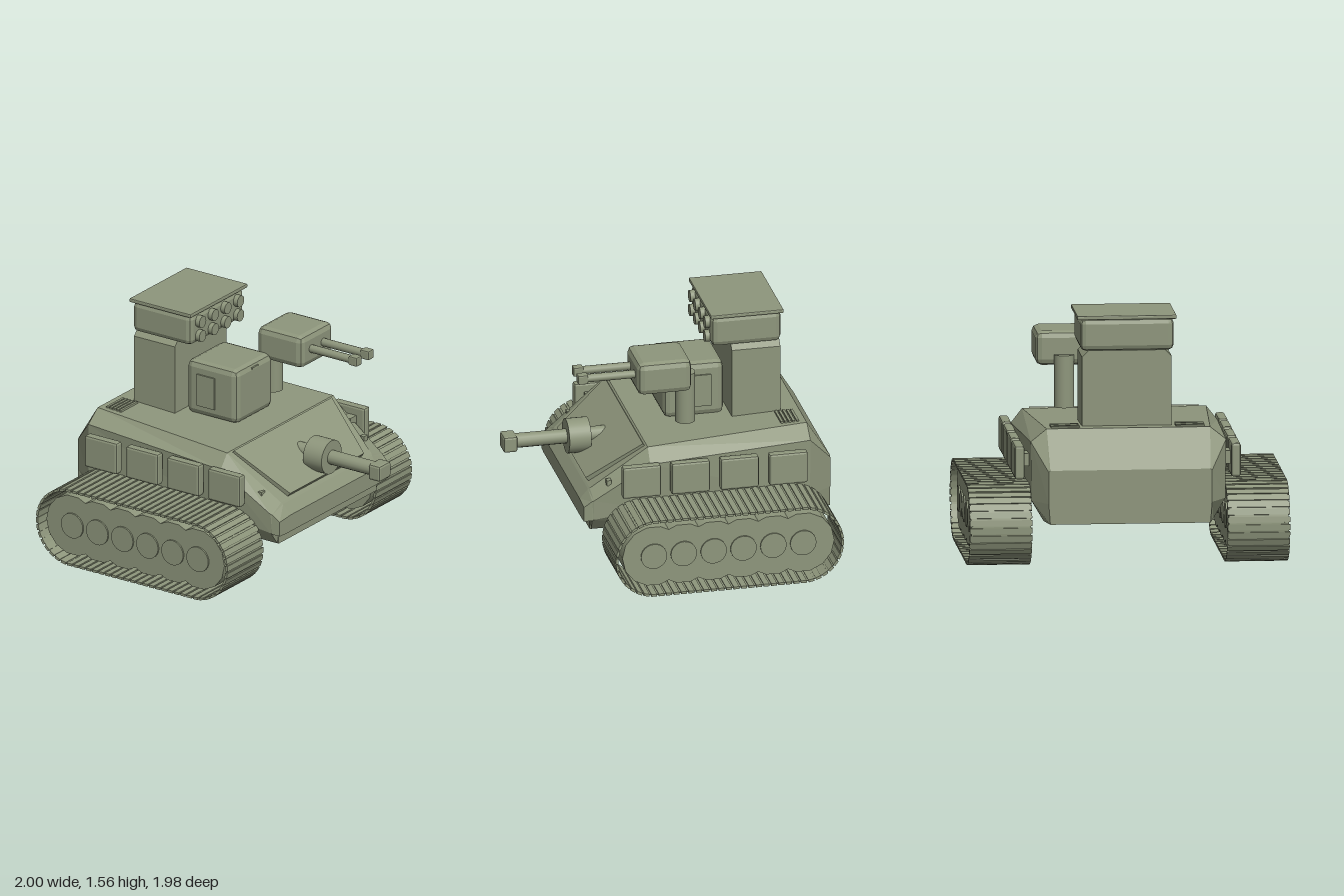
import * as THREE from 'three';
import { mergeGeometries } from 'three/addons/utils/BufferGeometryUtils.js';
import { RoundedBoxGeometry } from 'three/addons/geometries/RoundedBoxGeometry.js';

const olive = new THREE.MeshStandardMaterial({ color: 0x8e967c });
olive.name = 'olive armour';

function add(parent, name, geometry, x = 0, y = 0, z = 0) {
  const mesh = new THREE.Mesh(geometry, olive);
  mesh.name = name;
  mesh.position.set(x, y, z);
  parent.add(mesh);
  return mesh;
}

// Box given by its limits on each axis, with bevelled edges when bevel > 0
function block(parent, name, [x0, x1], [y0, y1], [z0, z1], bevel = 0) {
  const size = [x1 - x0, y1 - y0, z1 - z0];
  const g = bevel ? new RoundedBoxGeometry(...size, 1, bevel) : new THREE.BoxGeometry(...size);
  g.computeVertexNormals();
  return add(parent, name, g, (x0 + x1) / 2, (y0 + y1) / 2, (z0 + z1) / 2);
}

// Cylinder lying along z
function rod(parent, name, r, x, y, z0, z1, sides = 24) {
  const g = new THREE.CylinderGeometry(r, r, z1 - z0, sides).rotateX(Math.PI / 2);
  return add(parent, name, g, x, y, (z0 + z1) / 2);
}

// Faceted body from mirrored half-sections ordered from back to front
function hullGeometry(sections) {
  const rings = sections.map(([z, ...half]) => [
    ...half.map(([x, y]) => [x, y, z]),
    ...half.slice().reverse().map(([x, y]) => [-x, y, z]),
  ]);
  const n = rings[0].length;
  const pos = [];
  const tri = (...points) => points.forEach((p) => pos.push(...p));
  for (let i = 0; i < rings.length - 1; i++) {
    for (let j = 0; j < n; j++) {
      const k = (j + 1) % n;
      tri(rings[i][j], rings[i][k], rings[i + 1][k]);
      tri(rings[i][j], rings[i + 1][k], rings[i + 1][j]);
    }
  }
  const back = rings[0], front = rings[rings.length - 1];
  for (let j = 1; j < n - 1; j++) {
    tri(front[0], front[j], front[j + 1]);
    tri(back[0], back[j + 1], back[j]);
  }
  const g = new THREE.BufferGeometry();
  g.setAttribute('position', new THREE.Float32BufferAttribute(pos, 3));
  g.computeVertexNormals();
  return g;
}

// Track loop: two straights joined by half circles
const AXLE_Y = 0.255, FRONT = 0.235, REAR = -0.71;

function linkGeometry(width, count) {
  const r = 0.247, run = FRONT - REAR, arc = Math.PI * r;
  const total = 2 * (run + arc);
  const links = [];
  for (let i = 0; i < count; i++) {
    let s = (i / count) * total, z, a;
    if (s < run) { z = FRONT - s; a = Math.PI / 2; }
    else if (s < run + arc) { z = REAR; a = Math.PI / 2 + (s - run) / r; }
    else if (s < 2 * run + arc) { z = REAR + s - run - arc; a = Math.PI * 1.5; }
    else { z = FRONT; a = Math.PI * 1.5 + (s - 2 * run - arc) / r; }
    links.push(new THREE.BoxGeometry(width, 0.016, 0.036)
      .rotateX(Math.PI / 2 - a)
      .translate(0, AXLE_Y + r * Math.sin(a), z + r * Math.cos(a)));
  }
  return mergeGeometries(links);
}

function stadium(PathType, r) {
  const p = new PathType();
  p.absarc(-FRONT, AXLE_Y, r, Math.PI / 2, Math.PI * 1.5, false);
  p.absarc(-REAR, AXLE_Y, r, -Math.PI / 2, Math.PI / 2, false);
  p.closePath();
  return p;
}

function track(side) {
  const g = new THREE.Group();
  g.name = side > 0 ? 'leftTrack' : 'rightTrack';
  add(g, 'trackLinks', linkGeometry(0.39, 72), side * 0.805);
  const belt = stadium(THREE.Shape, 0.249);
  belt.holes.push(stadium(THREE.Path, 0.244));
  const beltGeometry = new THREE.ExtrudeGeometry(belt, { depth: 0.372, bevelEnabled: false, curveSegments: 20 });
  add(g, 'trackBelt', beltGeometry.rotateY(Math.PI / 2), side * 0.805 - 0.186);
  for (let i = 0; i < 6; i++) {
    const z = 0.24 - i * 0.1906;
    const wheel = new THREE.CylinderGeometry(0.2, 0.2, 0.32, 14).rotateZ(Math.PI / 2);
    add(g, 'roadWheel', wheel, side * 0.8, 0.258, z);
    const hub = new THREE.CylinderGeometry(0.083, 0.083, 0.34, 24).rotateZ(Math.PI / 2);
    add(g, 'wheelHub', hub, side * 0.8, 0.258, z);
  }
  return g;
}

export function createModel() {
  const model = new THREE.Group();
  model.name = 'trackedVehicle';

  // Hull: each section is z, bottom, lower side, shoulder, top
  add(model, 'hull', hullGeometry([
    [-0.99, [0.5, 0.29], [0.51, 0.42], [0.51, 0.62], [0.5, 0.63]],
    [-0.84, [0.53, 0.29], [0.605, 0.42], [0.61, 0.79], [0.51, 0.87]],
    [0.19, [0.53, 0.29], [0.625, 0.43], [0.645, 0.74], [0.575, 0.83]],
    [0.54, [0.53, 0.29], [0.6, 0.38], [0.605, 0.51], [0.49, 0.55]],
    [0.55, [0.53, 0.36], [0.6, 0.375], [0.6, 0.505], [0.48, 0.54]],
    [0.6, [0.53, 0.365], [0.59, 0.37], [0.59, 0.465], [0.47, 0.475]],
  ]));
  block(model, 'noseUnderside', [-0.53, 0.53], [0.29, 0.37], [0.5, 0.55]);

  // Raised plate on the sloping front
  const plate = new THREE.Shape([
    new THREE.Vector2(-0.4, 0), new THREE.Vector2(0.4, 0),
    new THREE.Vector2(0.53, 0.42), new THREE.Vector2(-0.53, 0.42),
  ]);
  const frontPlate = add(model, 'frontPlate',
    new THREE.ExtrudeGeometry(plate, { depth: 0.035, bevelEnabled: false }), 0, 0.555, 0.525);
  frontPlate.rotation.x = -0.927;

  // Main gun
  rod(model, 'gunMount', 0.11, 0, 0.7, 0.44, 0.58, 32);
  rod(model, 'gunBarrel', 0.046, 0, 0.7, 0.3, 0.91, 16);
  block(model, 'gunMuzzle', [-0.062, 0.062], [0.645, 0.75], [0.9, 0.99], 0.015);

  for (const side of [-1, 1]) {
    model.add(track(side));
    const span = (a, b) => (side > 0 ? [a, b] : [-b, -a]);
    // Armour boxes along the sides
    for (let i = 0; i < 4; i++) {
      const z = 0.255 - i * 0.312;
      block(model, 'sideBox', span(0.645, 0.706), [0.545, 0.757], [z - 0.123, z + 0.123], 0.015);
      block(model, 'sideBoxBracket', span(0.58, 0.66), [0.62, 0.7], [z - 0.06, z + 0.06]);
    }
    // Engine grilles
    for (let i = 0; i < 5; i++) {
      const z = -0.69 - i * 0.025;
      block(model, 'grilleBar', span(0.3, 0.48), [0.85, 0.877], [z - 0.008, z + 0.008]);
    }
    block(model, 'towingHook', span(0.535, 0.575), [0.59, 0.625], [0.42, 0.45]);
    block(model, 'turretSidePanel', span(0.19, 0.21), [0.91, 1.12], [-0.3, -0.165]);
  }

  // Forward turret box
  block(model, 'turretBox', [-0.2, 0.2], [0.84, 1.2], [-0.385, 0], 0.04);
  block(model, 'turretHandle', [-0.035, 0.035], [1.165, 1.175], [-0.02, 0.004]);

  // Twin gun on its post
  add(model, 'gunPost', new THREE.CylinderGeometry(0.063, 0.063, 0.33, 24), 0.338, 1.05, -0.103);
  block(model, 'twinGunBox', [0.165, 0.515], [1.145, 1.36], [-0.11, 0.235], 0.04);
  for (const x of [0.273, 0.402]) {
    rod(model, 'twinGunBarrel', 0.026, x, 1.257, 0.2, 0.56, 12);
    block(model, 'twinGunMuzzle', [x - 0.03, x + 0.03], [1.227, 1.287], [0.535, 0.6], 0.008);
  }

  // Launcher tower with its roof
  const tower = new THREE.Shape([
    [-0.28, 0.84], [0.28, 0.84], [0.28, 1.3], [0.24, 1.34], [-0.24, 1.34], [-0.28, 1.3],
  ].map(([x, y]) => new THREE.Vector2(x, y)));
  add(model, 'tower', new THREE.ExtrudeGeometry(tower, { depth: 0.31, bevelEnabled: false }), 0, 0, -0.725);
  block(model, 'launcherBox', [-0.295, 0.29], [1.335, 1.54], [-0.73, -0.285], 0.035);
  block(model, 'launcherRoof', [-0.31, 0.31], [1.535, 1.56], [-0.74, -0.275], 0.006);
  for (let i = 0; i < 8; i++) {
    const x = -0.205 + (i % 4) * 0.137;
    rod(model, 'launchTube', 0.038, x, i < 4 ? 1.48 : 1.385, -0.33, -0.255);
  }
  return model;
}
